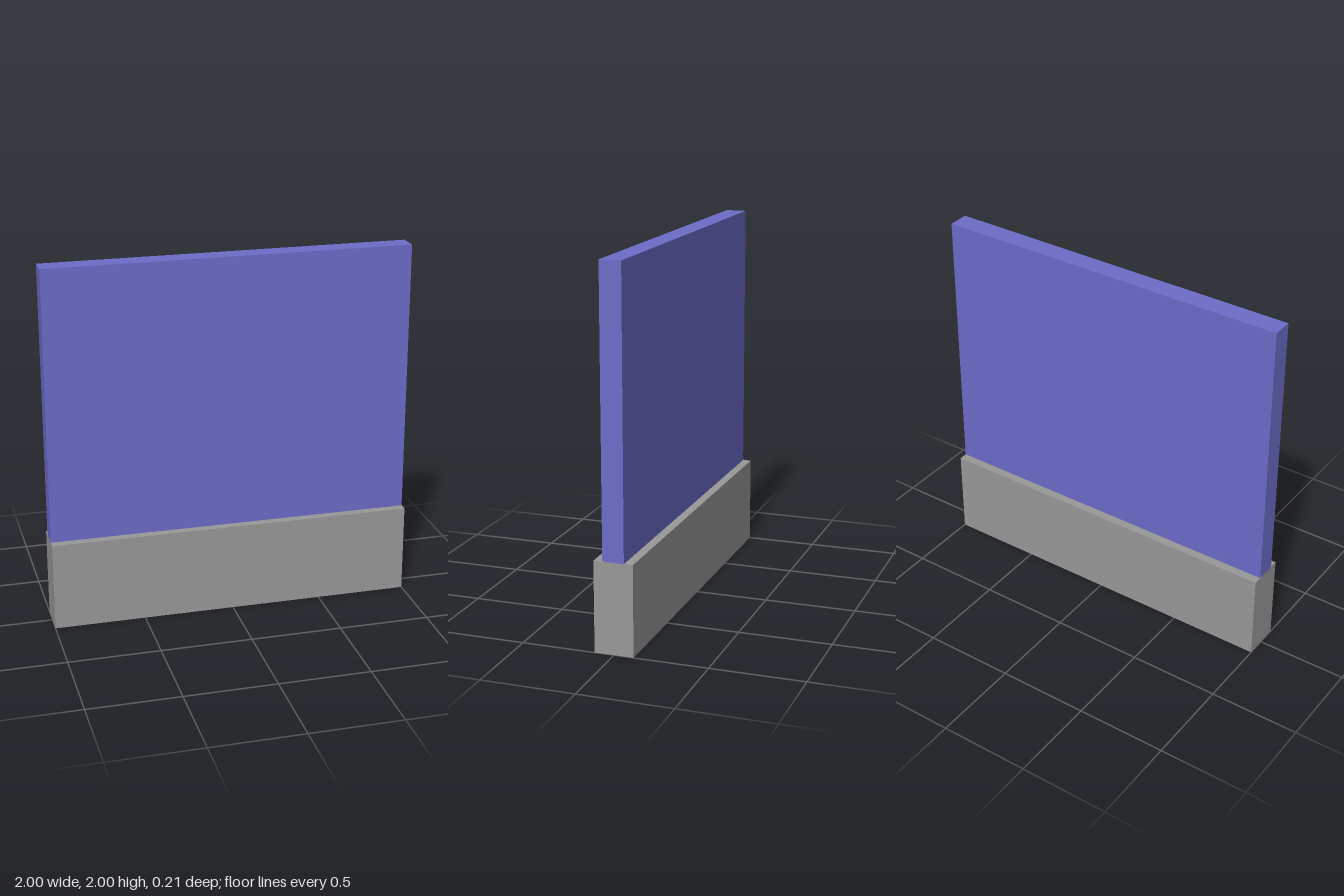
import * as THREE from 'three';

const grey = new THREE.MeshStandardMaterial({ color: 0x999999 });
grey.name = 'concrete grey';
const blue = new THREE.MeshStandardMaterial({ color: 0x6c6cc9 });
blue.name = 'panel blue';

export function createModel() {
  const group = new THREE.Group();
  group.name = 'wallPanel';

  const box = (name, material, size, position) => {
    const mesh = new THREE.Mesh(new THREE.BoxGeometry(...size), material);
    mesh.name = name;
    mesh.position.set(...position);
    group.add(mesh);
  };

  const length = 2, baseHeight = 0.49;

  // Wide plinth along the whole length
  box('base', grey, [length, baseHeight, 0.21], [0, baseHeight / 2, 0]);

  // Thinner upright panel centred on the plinth
  const panelHeight = 2 - baseHeight;
  box('panel', blue, [length, panelHeight, 0.115], [0, baseHeight + panelHeight / 2, 0]);

  // Tiny locating tabs at diagonally opposite ends
  for (const s of [1, -1]) {
    box('locatingTab', grey, [0.004, 0.018, 0.018], [s * 0.999, 0.485, s * 0.05]);
  }
  return group;
}
